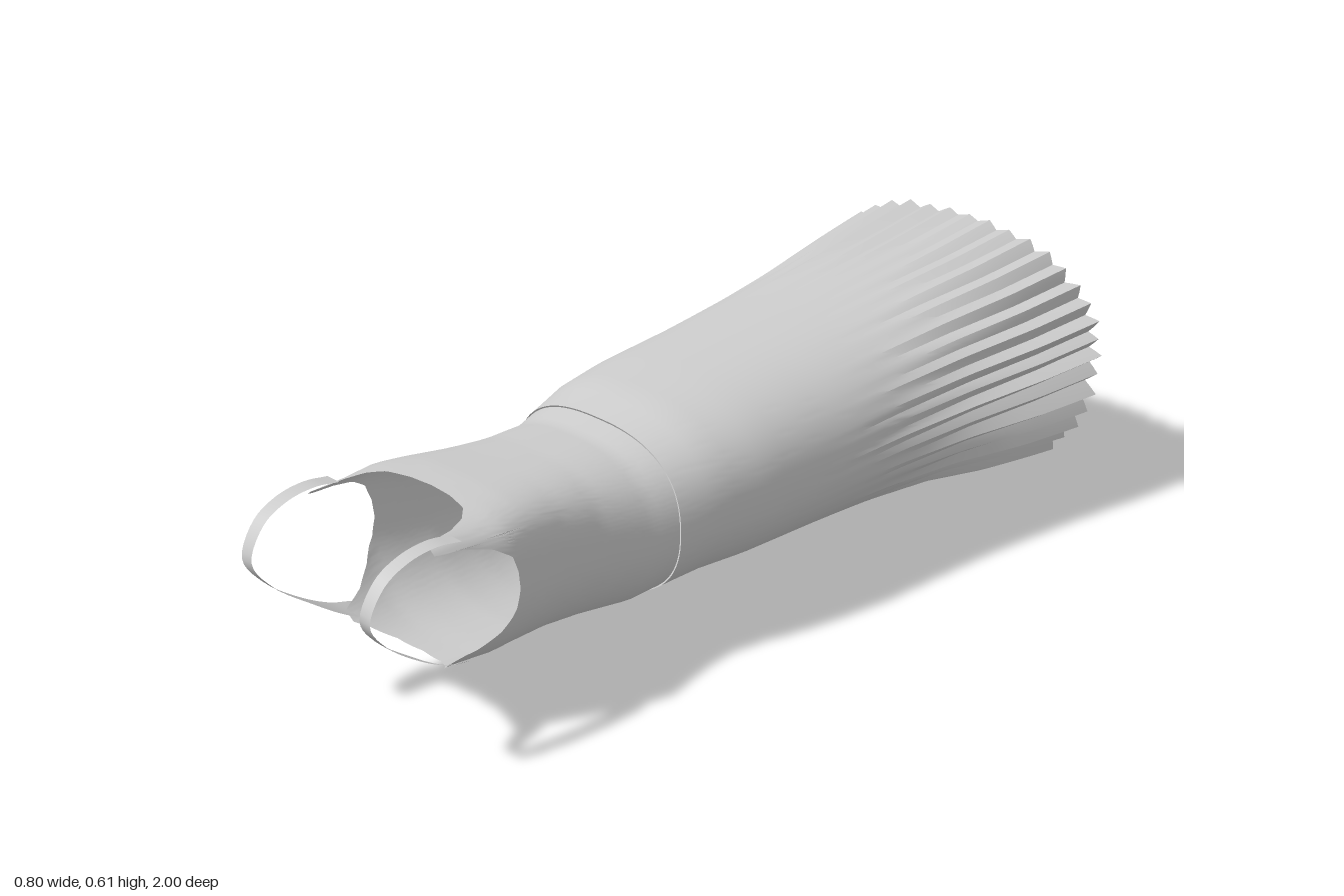
import * as THREE from 'three';
import { toCreasedNormals } from 'three/addons/utils/BufferGeometryUtils.js';

const { lerp, smoothstep } = THREE.MathUtils;
const fabric = new THREE.MeshStandardMaterial({ color: 0xcccccc, side: THREE.DoubleSide });

// Cross-sections: z, half width, bottom y, top y, y of widest point, squareness above, below
const SECTIONS = [
  [-1.00, 0.385, 0.015, 0.605, 0.36, 2.4, 1.95],
  [-0.80, 0.362, 0.045, 0.585, 0.35, 2.4, 2.0],
  [-0.60, 0.330, 0.080, 0.570, 0.34, 2.4, 2.0],
  [-0.40, 0.308, 0.102, 0.554, 0.33, 2.4, 2.1],
  [-0.20, 0.295, 0.118, 0.540, 0.32, 2.4, 2.2],
  [0.00, 0.283, 0.126, 0.526, 0.32, 2.5, 2.3],
  [0.12, 0.264, 0.130, 0.515, 0.32, 2.5, 2.3],
  [0.20, 0.246, 0.122, 0.495, 0.31, 2.5, 2.3],
  [0.28, 0.225, 0.108, 0.477, 0.30, 2.6, 2.3],
  [0.40, 0.202, 0.120, 0.480, 0.31, 3.0, 2.3],
  [0.50, 0.200, 0.130, 0.487, 0.32, 3.5, 2.3],
  [0.60, 0.212, 0.135, 0.495, 0.33, 4.2, 2.3],
  [0.66, 0.222, 0.137, 0.496, 0.34, 4.6, 2.3],
  [0.75, 0.207, 0.142, 0.496, 0.34, 5.0, 2.3],
  [0.90, 0.205, 0.142, 0.496, 0.34, 5.0, 2.3],
];

// Upper edge of the bodice: angle in degrees, z (armhole, strap roots, necklines)
const UPPER_EDGE = [
  [-90, 0.71], [-72, 0.72], [-58, 0.75], [-51, 0.775], [-43, 0.775], [-36, 0.72], [-26, 0.68], [-12, 0.65],
  [0, 0.64], [14, 0.645], [26, 0.66], [34, 0.70], [39, 0.76], [41, 0.83], [49, 0.83],
  [51, 0.76], [55, 0.72], [62, 0.69], [75, 0.675], [90, 0.67],
];

// Linear look-up in a table sorted by its first column
function sample(table, v) {
  let i = 0;
  while (i < table.length - 2 && table[i + 1][0] < v) i++;
  const k = THREE.MathUtils.clamp((v - table[i][0]) / (table[i + 1][0] - table[i][0]), 0, 1);
  return table[i].map((a, c) => lerp(a, table[i + 1][c], k));
}

// Point on the garment at angle t and depth z, pushed outwards by offset
function surfacePoint(t, z, offset = 0) {
  const [, w, y0, y1, mid, nUp, nDown] = sample(SECTIONS, z);
  const c = Math.cos(t), s = Math.sin(t), n = s > 0 ? nUp : nDown;
  const r = (Math.abs(c) ** n + Math.abs(s) ** n) ** (-1 / n);
  const h = s > 0 ? y1 - mid : mid - y0;
  return [c * (w * r + offset), mid + s * (h * r + offset), z];
}

// Grid surface from point(u, v); u and v are column and row numbers
function gridMesh(name, cols, rows, crease, point) {
  const pos = [], index = [];
  for (let j = 0; j <= rows; j++) for (let i = 0; i <= cols; i++) pos.push(...point(i, j));
  for (let j = 0; j < rows; j++) for (let i = 0; i < cols; i++) {
    const a = j * (cols + 1) + i, b = a + cols + 1;
    index.push(a, a + 1, b + 1, a, b + 1, b);
  }
  const geo = new THREE.BufferGeometry();
  geo.setAttribute('position', new THREE.Float32BufferAttribute(pos, 3));
  geo.setIndex(index);
  const mesh = new THREE.Mesh(toCreasedNormals(geo, crease), fabric);
  mesh.name = name;
  return mesh;
}

const WAIST = 0.22;

// Pleated skirt: sharp folds that deepen towards the hem and are strongest at the sides
function makeSkirt() {
  const folds = 84, cols = folds * 2, rows = 36;
  return gridMesh('skirt', cols, rows, 0.35, (i, j) => {
    const t = (i % cols) / cols * Math.PI * 2, s = Math.sin(t), c = Math.cos(t);
    const fold = k => {
      const q = k % folds;
      return (q % 2 ? 1 : -1) * (0.8 + 0.35 * Math.sin(q * 2.7) * Math.sin(q * 1.3 + 1));
    };
    const k = Math.floor(i / 2);
    const wave = i % 2 ? (fold(k) + fold(k + 1)) / 2 : fold(k);
    const hem = -0.97 - (s < 0 ? 0.025 * s * s : 0.005 * s) - 0.004 * wave;
    const z = lerp(hem, WAIST, j / rows);
    const start = -0.15 - 0.2 * Math.abs(s) + 0.1 * Math.sin(k * 1.9);
    const strength = (s > 0 ? 0.004 : 0.01) + (s > 0 ? 0.013 : 0.006) * Math.abs(c);
    const depth = strength * (1 - smoothstep(z, -1, start));
    return surfacePoint(t, z, wave * depth + 0.003);
  });
}

// Fitted bodice with armholes and necklines cut into its upper edge
function makeBodice() {
  const cols = 240, rows = 30;
  return gridMesh('bodice', cols, rows, 1.0, (i, j) => {
    const t = (i % cols) / cols * Math.PI * 2;
    const angle = Math.asin(Math.sin(t)) * 180 / Math.PI;
    const top = sample(UPPER_EDGE, angle)[1];
    return surfacePoint(t, lerp(WAIST, top, j / rows));
  });
}

// Shoulder strap: flat ribbon looping from the upper to the lower panel
function makeStrap(side) {
  const path = new THREE.CatmullRomCurve3([
    [0.181, 0.482, 0.77], [0.181, 0.492, 0.83], [0.181, 0.485, 0.90], [0.18, 0.455, 0.96],
    [0.177, 0.385, 0.997], [0.17, 0.32, 0.955], [0.167, 0.25, 0.865], [0.162, 0.205, 0.79], [0.156, 0.187, 0.74],
  ].map(p => new THREE.Vector3(...p)));
  const rows = 40;
  return gridMesh(side > 0 ? 'leftStrap' : 'rightStrap', 2, rows, 1.2, (i, j) => {
    const p = path.getPoint(j / rows);
    const half = 0.015 + 0.004 * Math.abs(j / rows * 2 - 1);
    const across = (i - 1) * half;
    // the ribbon tilts to follow the body at its lower root
    const tilt = 0.6 * smoothstep(j / rows, 0.7, 1) * across;
    return [side * (p.x + across), p.y + tilt, p.z];
  });
}

export function createModel() {
  const dress = new THREE.Group();
  dress.name = 'dress';
  dress.add(makeSkirt(), makeBodice(), makeStrap(1), makeStrap(-1));
  return dress;
}
